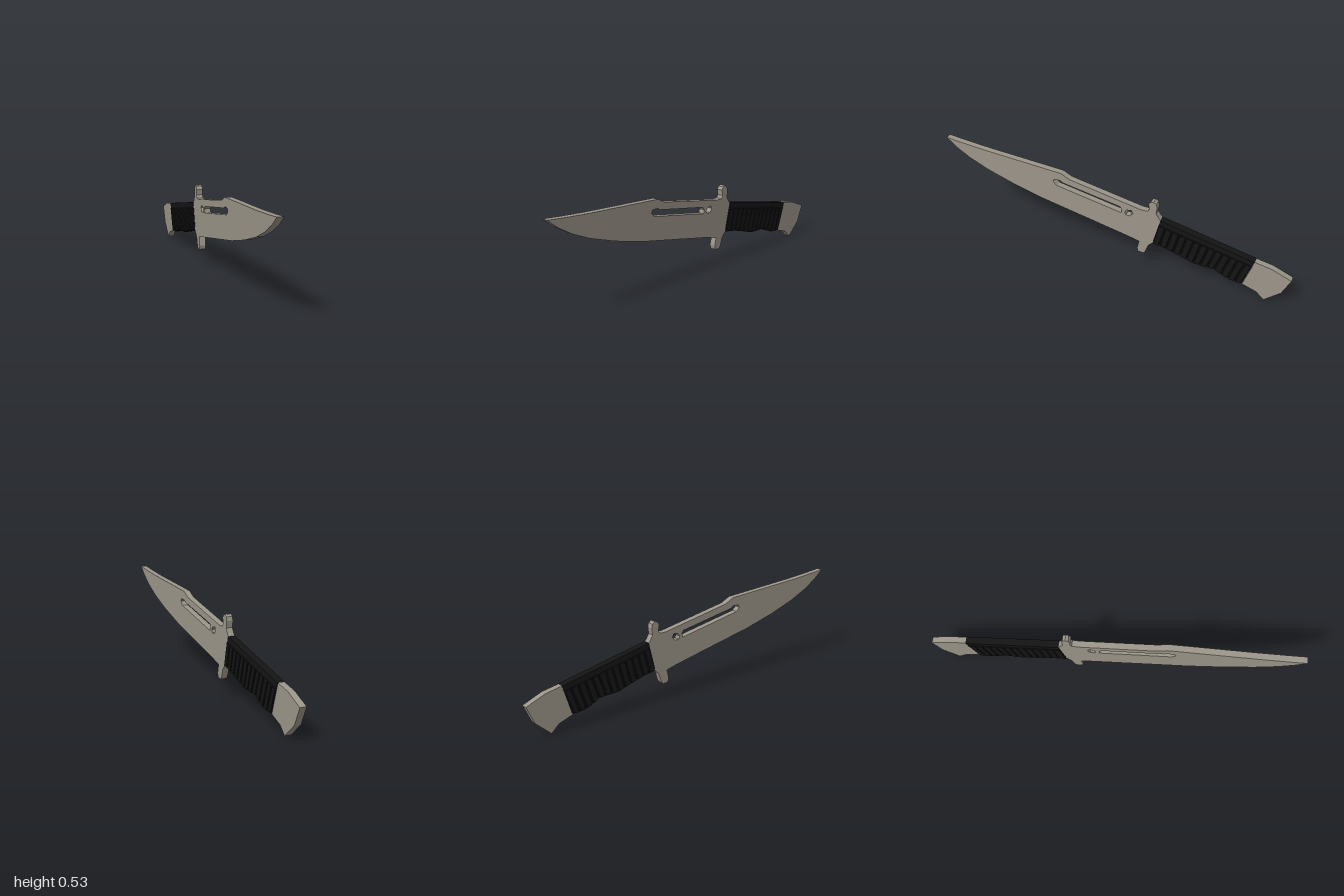
import * as THREE from 'three';

const steel = new THREE.MeshStandardMaterial({ color: 0x9c968a, flatShading: true });
const grip = new THREE.MeshStandardMaterial({ color: 0x141414, flatShading: true });
const toVecs = pts => pts.map(([z, y]) => new THREE.Vector2(z, y));

// Side outline given as [z, y] points, extruded from x0 to x1
function plate(name, pts, x0, x1, material, holes = [], bevel = 0) {
  const shape = new THREE.Shape(toVecs(pts));
  for (const h of holes) shape.holes.push(new THREE.Path(toVecs(h)));
  const geo = new THREE.ExtrudeGeometry(shape, {
    depth: x1 - x0 - 2 * bevel, bevelEnabled: bevel > 0,
    bevelThickness: bevel, bevelSize: bevel, bevelOffset: -bevel, bevelSegments: 1,
  });
  geo.rotateY(-Math.PI / 2);
  geo.translate(x1 - bevel, 0, 0);
  const mesh = new THREE.Mesh(geo, material);
  mesh.name = name;
  return mesh;
}

export function createModel() {
  const model = new THREE.Group();
  model.name = 'knife';
  const X0 = -0.02, X1 = 0.015;

  // Clip-point blade with long slot and small hole
  const blade = [[1, .53], [.9, .52], [.754, .508], [.567, .497], [.294, .481], [.24, .455],
    [-.171, .38], [-.166, .166], [-.1, .182], [.139, .23], [.406, .283], [.594, .332],
    [.754, .385], [.861, .433], [.941, .481]];
  const slot = [[.332, .433], [.299, .433], [.278, .422], [-.053, .364], [-.064, .348],
    [-.059, .326], [-.032, .332], [.321, .396], [.342, .417]];
  const hole = [[-.091, .353], [-.118, .358], [-.128, .342], [-.112, .321], [-.086, .321], [-.08, .337]];
  model.add(plate('blade', blade, X0, X1, steel, [slot, hole]));

  // Cross guard
  model.add(plate('guard', [[-.171, .38], [-.209, .38], [-.219, .396], [-.214, .428], [-.225, .444],
    [-.241, .449], [-.257, .438], [-.262, .417], [-.257, .38], [-.273, .353], [-.283, .342],
    [-.246, .182], [-.219, .155], [-.203, .107], [-.193, .093], [-.16, .096], [-.155, .118],
    [-.166, .166]], X0, X1, steel));

  // Hooked pommel
  model.add(plate('pommel', [[-.802, .235], [-.893, .219], [-1, .176], [-.957, .08], [-.872, .003],
    [-.829, .043], [-.749, .07]], X0, X1, steel));

  // Grip core
  const top = [[-.283, .342], [-.802, .235]];
  const bottom = [[-.246, .182], [-.316, .171], [-.374, .155], [-.476, .123], [-.594, .118],
    [-.642, .091], [-.69, .075], [-.749, .075]];
  const core = [...top, ...bottom.map(([z, y]) => [z, y + .012]).reverse()];
  model.add(plate('gripCore', core, -.022, .018, grip));

  // Slanted grip ribs that scallop the lower edge
  const lowerY = z => {
    const i = Math.max(1, bottom.findIndex(p => p[0] <= z));
    const [a, b] = [bottom[i - 1], bottom[i]];
    return a[1] + (b[1] - a[1]) * (z - a[0]) / (b[0] - a[0]);
  };
  const upper = t => [-.283 - .519 * t + .007, .342 - .107 * t - .03];
  const lower = t => {
    const z = -.246 - .502 * t;
    return [z, lowerY(z)];
  };
  const ribs = new THREE.Group();
  ribs.name = 'gripRibs';
  const count = 13;
  for (let i = 0; i < count; i++) {
    const a = (i + .04) / count, b = (i + .9) / count;
    const pts = [upper(a), upper(b), lower(b), lower(a)];
    ribs.add(plate('gripRib', pts, -.025, i < 8 ? .023 : .021, grip, [], .003));
  }
  model.add(ribs);
  return model;
}
